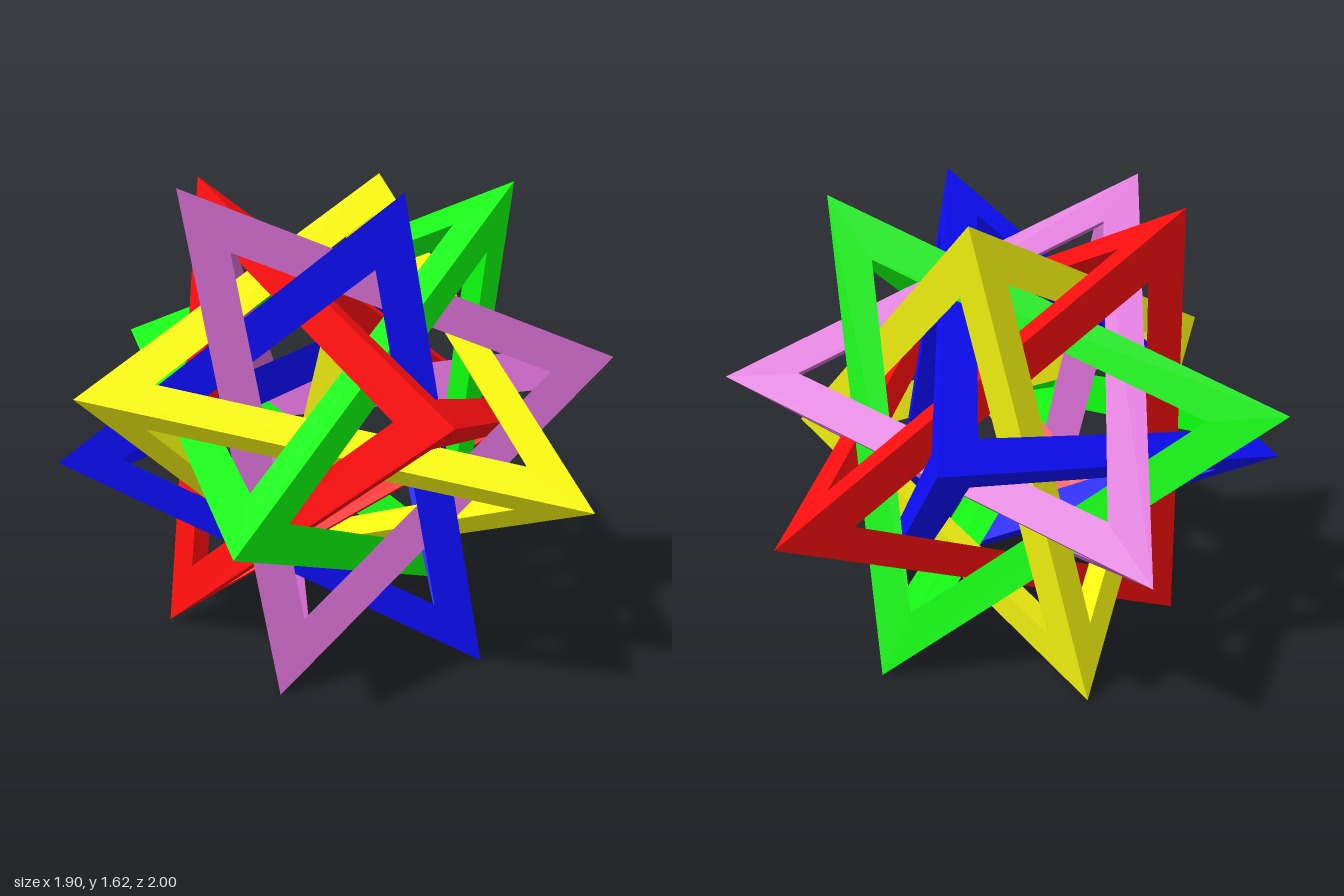
import * as THREE from 'three';

const PHI = (1 + Math.sqrt(5)) / 2;
const C = 0.82; // half size of the cube-shaped cavity inside a tetrahedron spanning -1..1

// One open tetrahedron frame in its own cube axes: a single strut side and
// half of its inner wall, repeated by the 12 rotations of the tetrahedron.
function frameGeometry() {
  const k = 2 * C - 1;
  const quads = [
    [[-C, k, -C], [-C, -C, k], [-1, -1, 1], [-1, 1, -1]], // outer strut side
    [[C, -C, -C], [C, -C, -k], [C, k, C], [C, C, C]],     // inner strut wall
  ];
  const flips = [[1, 1, 1], [1, -1, -1], [-1, 1, -1], [-1, -1, 1]];
  const pos = [];
  for (const flip of flips) {
    for (let shift = 0; shift < 3; shift++) {
      for (const quad of quads) {
        const p = quad.map(q => flip.map((s, i) => s * q[(i + shift) % 3]));
        for (const i of [0, 1, 2, 0, 2, 3]) pos.push(...p[i]);
      }
    }
  }
  const geometry = new THREE.BufferGeometry();
  geometry.setAttribute('position', new THREE.Float32BufferAttribute(pos, 3));
  return geometry;
}

// Corner on a ring around the vertical axis, angle measured from the front
function corner(radius, y, degrees) {
  const a = THREE.MathUtils.degToRad(degrees);
  return new THREE.Vector3(radius * Math.sin(a), y, radius * Math.cos(a));
}

export function createModel() {
  const group = new THREE.Group();
  group.name = 'fiveTetrahedra';

  // Three corners of the first tetrahedron, relative to the centre
  const high = PHI / 2, low = 1 - PHI / 2;
  const a = corner(1 / PHI, high, 0);
  const b = corner(1, -low, 252);
  const c = corner(1 / PHI, -high, 36);
  const d = corner(1, low, 144);
  const axis = (p, q) => p.clone().add(q).multiplyScalar(0.5);
  const basis = new THREE.Matrix4().makeBasis(axis(a, b), axis(a, c), axis(a, d));

  const geometry = frameGeometry().applyMatrix4(basis);
  geometry.computeVertexNormals();

  // Five interlocking copies, a fifth of a turn apart
  const frames = [
    ['purpleTetrahedron', 0xda70d6],
    ['blueTetrahedron', 0x0d0dff],
    ['greenTetrahedron', 0x0dff0d],
    ['yellowTetrahedron', 0xffff10],
    ['redTetrahedron', 0xff0d0d],
  ];
  frames.forEach(([name, color], i) => {
    const mesh = new THREE.Mesh(geometry, new THREE.MeshStandardMaterial({ color, flatShading: true }));
    mesh.name = name;
    mesh.position.y = high;
    mesh.rotation.y = (i * 2 * Math.PI) / 5;
    group.add(mesh);
  });
  return group;
}
